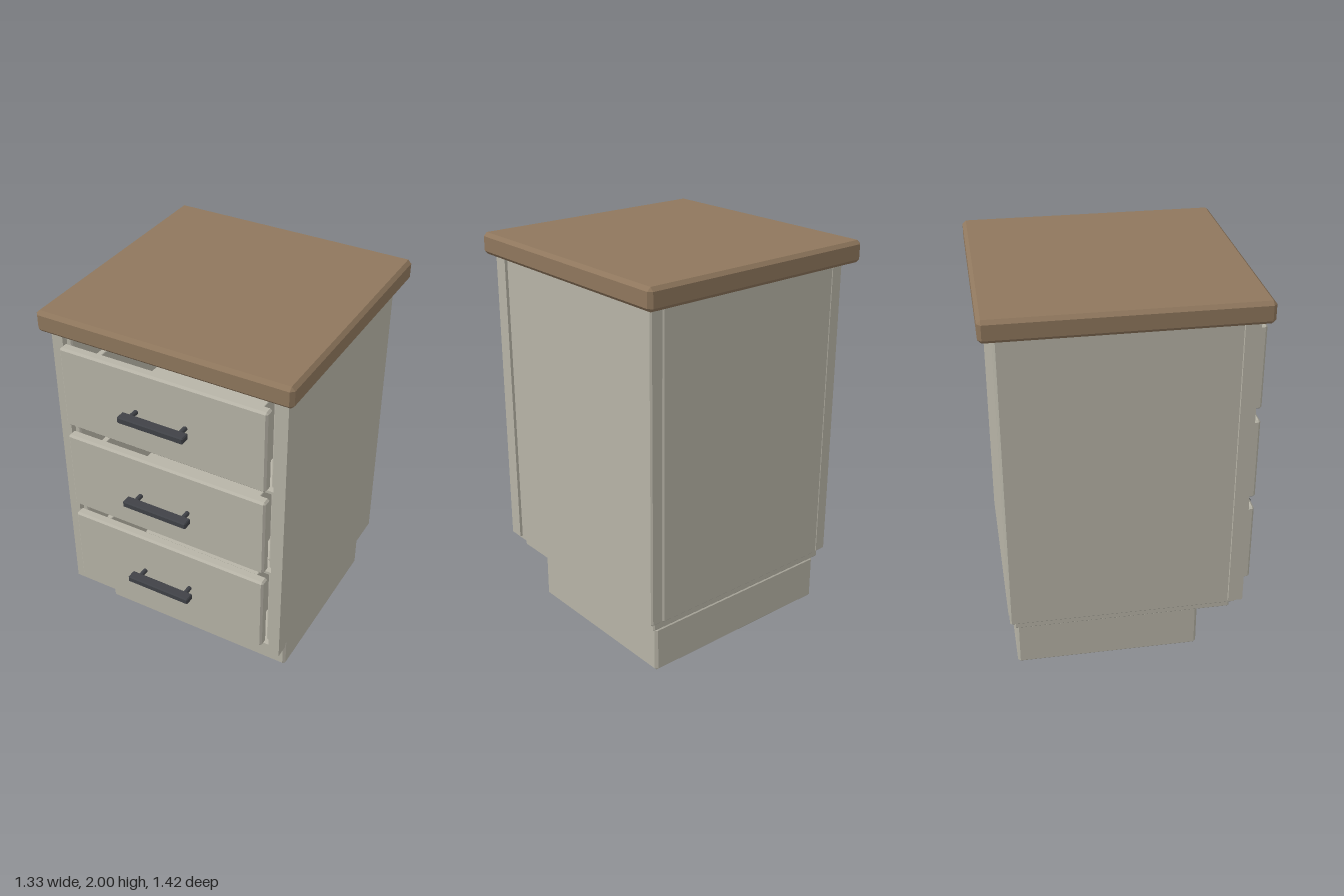
import * as THREE from 'three';
import { ConvexGeometry } from 'three/addons/geometries/ConvexGeometry.js';

const paint = new THREE.MeshStandardMaterial({ color: 0xb7b4a7 });
const wood = new THREE.MeshStandardMaterial({ color: 0x8f775d });
const metal = new THREE.MeshStandardMaterial({ color: 0x404247 });

// Box given by its limits, with all edges chamfered by c
function block(name, [x0, x1], [y0, y1], [z0, z1], c, material = paint) {
  const half = [(x1 - x0) / 2, (y1 - y0) / 2, (z1 - z0) / 2];
  const points = [];
  for (const sx of [-1, 1]) for (const sy of [-1, 1]) for (const sz of [-1, 1]) {
    for (let face = 0; face < 3; face++) {
      const p = [sx, sy, sz].map((s, i) => s * (half[i] - (i === face ? 0 : c)));
      points.push(new THREE.Vector3(...p));
    }
  }
  const mesh = new THREE.Mesh(new ConvexGeometry(points), material);
  mesh.name = name;
  mesh.position.set((x0 + x1) / 2, (y0 + y1) / 2, (z0 + z1) / 2);
  return mesh;
}

function rectangle(PathType, x0, x1, y0, y1) {
  const path = new PathType();
  path.moveTo(x0, y0);
  path.lineTo(x1, y0);
  path.lineTo(x1, y1);
  path.lineTo(x0, y1);
  path.closePath();
  return path;
}

// Face frame with one opening per drawer
function faceFrame() {
  const shape = rectangle(THREE.Shape, -0.62, 0.62, 0.32, 1.89);
  for (const [y0, y1] of [[0.375, 0.86], [0.875, 1.36], [1.375, 1.87]]) {
    shape.holes.push(rectangle(THREE.Path, -0.56, 0.56, y0, y1));
  }
  const geometry = new THREE.ExtrudeGeometry(shape, { depth: 0.075, bevelEnabled: false });
  const mesh = new THREE.Mesh(geometry, paint);
  mesh.name = 'faceFrame';
  mesh.position.z = 0.485;
  return mesh;
}

// Bar handle on two round posts
function handle() {
  const group = new THREE.Group();
  group.name = 'handle';
  group.add(block('handleBar', [-0.175, 0.175], [-0.017, 0.017], [0.658, 0.71], 0.005, metal));
  for (const x of [-0.132, 0.132]) {
    const post = new THREE.Mesh(new THREE.CylinderGeometry(0.012, 0.012, 0.06, 16), metal);
    post.name = 'handlePost';
    post.rotation.x = Math.PI / 2;
    post.position.set(x, 0, 0.635);
    group.add(post);
  }
  return group;
}

// Drawer front with an open-topped box behind it; y is the lower edge of the front
function drawer(y) {
  const group = new THREE.Group();
  group.name = 'drawer';
  group.add(block('drawerFront', [-0.545, 0.545], [0, 0.438], [0.558, 0.613], 0.01));
  group.add(block('drawerBottom', [-0.45, 0.45], [-0.01, 0.02], [-0.5, 0.558], 0.003));
  group.add(block('drawerBack', [-0.45, 0.45], [0, 0.35], [-0.53, -0.5], 0.003));
  for (const s of [-1, 1]) {
    const x = [s * 0.435 - 0.015, s * 0.435 + 0.015];
    group.add(block('drawerSide', x, [0, 0.35], [-0.5, 0.558], 0.003));
  }
  const pull = handle();
  pull.position.y = 0.217;
  group.add(pull);
  group.position.y = y;
  return group;
}

export function createModel() {
  const model = new THREE.Group();
  model.name = 'drawerCabinet';

  // Base
  model.add(block('plinth', [-0.553, 0.553], [0, 0.246], [-0.61, 0.34], 0.013));
  model.add(block('bottomPanel', [-0.575, 0.575], [0.245, 0.3], [-0.62, 0.505], 0.008));

  // Carcass
  for (const s of [-1, 1]) {
    const x = [s * 0.568 - 0.037, s * 0.568 + 0.037];
    model.add(block('sidePanel', x, [0.295, 1.897], [-0.642, 0.528], 0.008));
  }
  model.add(block('backPanel', [-0.535, 0.535], [0.296, 1.897], [-0.645, -0.57], 0.006));
  model.add(faceFrame());

  // Drawers
  for (const y of [0.4, 0.898, 1.398]) model.add(drawer(y));

  // Worktop
  model.add(block('worktop', [-0.663, 0.663], [1.89, 2], [-0.71, 0.615], 0.018, wood));
  return model;
}
